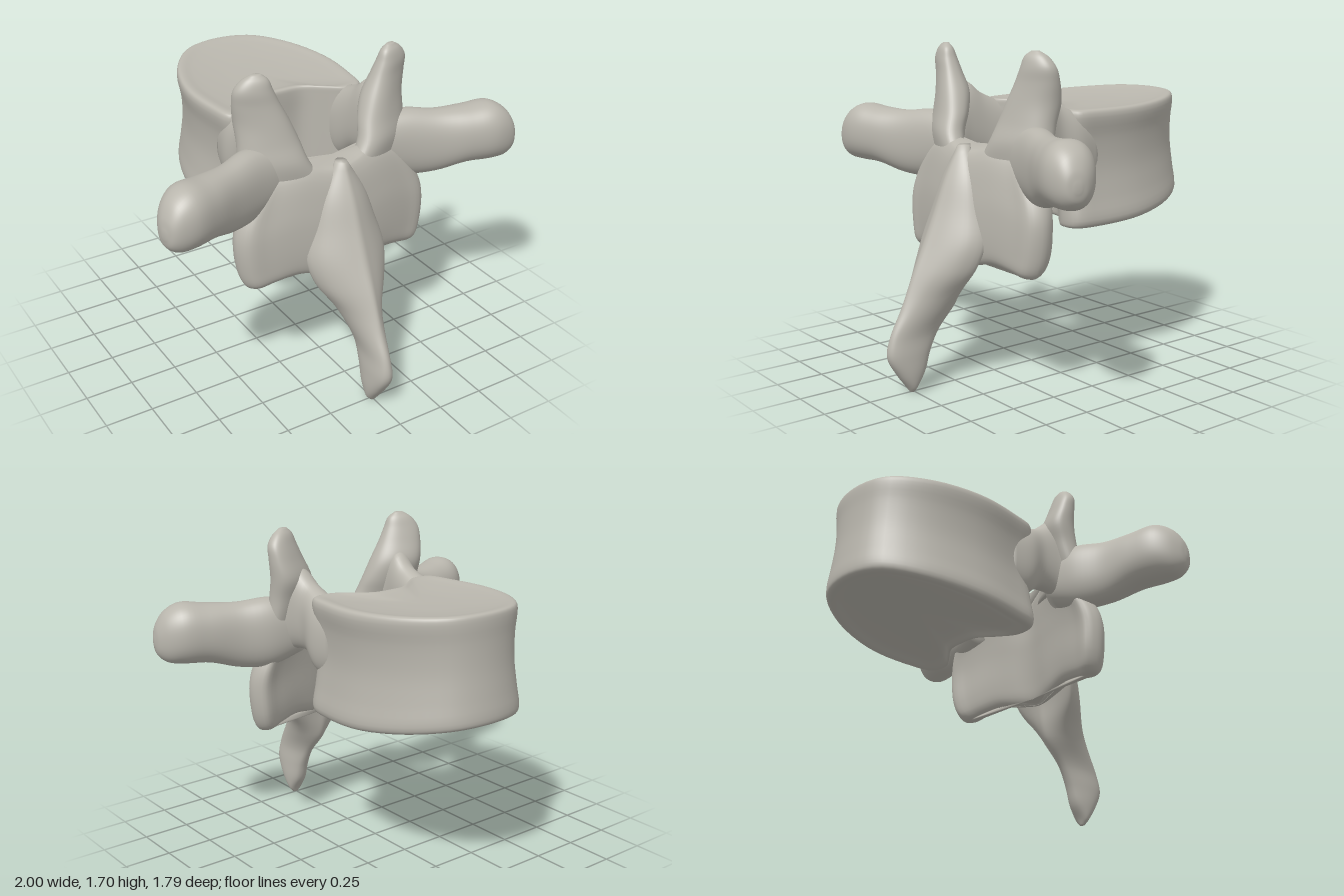
import * as THREE from 'three';

const V = (x, y, z) => new THREE.Vector3(x, y, z);
const bone = new THREE.MeshStandardMaterial({ color: 0xb9b6ad });
bone.name = 'bone';

// Smooth skin over closed rings of control points, closed at both ends
function loft(rings, around = 56, perSpan = 5) {
  const dense = rings.map((r) => {
    const c = new THREE.CatmullRomCurve3(r, true);
    return Array.from({ length: around }, (_, i) => c.getPoint(i / around));
  });
  const rows = (rings.length - 1) * perSpan + 1;
  const pts = [];
  const rails = dense[0].map((_, j) => new THREE.CatmullRomCurve3(dense.map((r) => r[j])));
  for (let i = 0; i < rows; i++) rails.forEach((rail) => pts.push(rail.getPoint(i / (rows - 1))));
  const first = pts.length;
  for (const r of [dense[0], dense[dense.length - 1]]) {
    pts.push(r.reduce((s, p) => s.add(p), V(0, 0, 0)).divideScalar(around));
  }
  const tris = [];
  for (let j = 0; j < around; j++) {
    const k = (j + 1) % around;
    for (let i = 0; i < rows - 1; i++) {
      const a = i * around + j, b = i * around + k, c = a + around, d = b + around;
      tris.push([a, b, d], [a, d, c]);
    }
    const last = (rows - 1) * around;
    tris.push([first, k, j], [first + 1, last + j, last + k]);
  }
  // Turn the faces outward whichever way the rings run
  let volume = 0;
  for (const [a, b, c] of tris) volume += pts[a].dot(V(0, 0, 0).crossVectors(pts[b], pts[c]));
  if (volume < 0) tris.forEach((t) => t.reverse());
  const g = new THREE.BufferGeometry().setFromPoints(pts);
  g.setIndex(tris.flat());
  g.computeVertexNormals();
  return g;
}

// Oval ring around a centre, spanned by two half-axes
function oval(c, u, v) {
  const soft = (t) => Math.sign(t) * Math.abs(t) ** 0.88;
  return Array.from({ length: 16 }, (_, i) => {
    const a = (i / 16) * Math.PI * 2;
    return c.clone().addScaledVector(u, soft(Math.cos(a))).addScaledVector(v, soft(Math.sin(a)));
  });
}

// Completes a half ring (x >= 0, starting and ending on x = 0)
const mirrorRing = (half) => [
  ...half,
  ...half.slice(1, -1).reverse().map((p) => V(-p.x, p.y, p.z)),
];

// Vertebral body: kidney outline, waisted sides, dished end plates
function bodyGeometry() {
  const outline = [[0, -0.86], [0.2, -0.81], [0.35, -0.63], [0.43, -0.37], [0.42, -0.12],
    [0.385, 0.02], [0.29, 0.035], [0.2, -0.02], [0.1, -0.09], [0, -0.1]];
  // height fraction, width scale, depth scale
  const levels = [[0.1, 0.1, 0.1], [0.08, 0.45, 0.45], [0.04, 0.8, 0.8], [0, 0.93, 0.94],
    [0.015, 0.985, 0.985], [0.07, 1.01, 1], [0.25, 0.97, 0.99], [0.5, 0.93, 0.975], [0.75, 0.95, 0.98],
    [0.93, 1, 0.995], [0.985, 0.985, 0.985], [1, 0.94, 0.95], [0.985, 0.8, 0.8], [0.965, 0.45, 0.45],
    [0.96, 0.1, 0.1]];
  return loft(levels.map(([v, sx, sz]) => mirrorRing(outline.map(([x, z0]) => {
    let z = -0.4 + (z0 + 0.4) * sz;
    if (z < 0) z *= 1 + 0.045 * (1 - v);
    const low = 0.795 + 0.13 * z * z, high = 1.395 + 0.05 * z * z;
    return V(x * sx, low + v * (high - low), z);
  }))), 80, 4);
}

// Lamina: curved plate behind the canal, ending below in the two lower joint lobes
function laminaGeometry() {
  // y, half width, outer z at middle, z at rim, half thickness at rim, inner z at middle
  const rows = [[1.215, 0.34, 0.42, 0.3, 0.02, 0.4], [1.2, 0.36, 0.44, 0.3, 0.05, 0.38],
    [1.14, 0.43, 0.465, 0.31, 0.07, 0.37], [1.0, 0.525, 0.49, 0.33, 0.07, 0.37],
    [0.9, 0.55, 0.5, 0.34, 0.07, 0.38], [0.75, 0.54, 0.5, 0.345, 0.07, 0.4],
    [0.67, 0.515, 0.485, 0.355, 0.06, 0.415], [0.64, 0.49, 0.47, 0.36, 0.04, 0.43],
    [0.628, 0.45, 0.455, 0.365, 0.015, 0.445]];
  return loft(rows.map(([y, w, outer, rim, t, inner]) => {
    const at = (f, z) => V(f * w, y - 0.02 * Math.cos(4 * Math.PI * f * w), z);
    const steps = [0, 0.25, 0.5, 0.75, 0.93];
    const front = steps.map((f) => at(f, outer + (rim + t - outer) * (f / 0.93) ** 1.3));
    const back = steps.map((f) => at(f, inner + (rim - t - inner) * (f / 0.93)));
    return mirrorRing([...front, at(1, rim), ...back.reverse()]);
  }), 80);
}

// Spine: a ridge flaring into the lamina, tapering to a blade
function spineGeometry() {
  // y, half width, z of widest point, front z, back z, flank hollowing
  const rows = [[1.22, 0.03, 0.42, 0.46, 0.39, 1.2], [1.06, 0.12, 0.44, 0.54, 0.42, 1.6],
    [0.9, 0.18, 0.44, 0.605, 0.42, 1.7], [0.75, 0.22, 0.46, 0.67, 0.43, 1.8],
    [0.62, 0.19, 0.5, 0.73, 0.455, 1.8], [0.5, 0.115, 0.56, 0.78, 0.47, 1.5],
    [0.42, 0.08, 0.63, 0.815, 0.5, 1.2], [0.3, 0.05, 0.74, 0.875, 0.6, 0.9],
    [0.2, 0.055, 0.77, 0.893, 0.655, 0.8], [0.1, 0.055, 0.77, 0.84, 0.69, 0.8],
    [0.03, 0.04, 0.76, 0.79, 0.735, 0.9], [0, 0.015, 0.76, 0.77, 0.75, 1]];
  return loft(rows.map(([y, w, mid, front, back, p]) => Array.from({ length: 16 }, (_, i) => {
    const a = (i / 16) * Math.PI * 2, c = Math.cos(a), s = Math.sin(a);
    return V(w * Math.sign(c) * Math.abs(c) ** p, y, mid + s * (s > 0 ? front - mid : mid - back));
  })));
}

// Pedicle: bar from the body to the arch, rising into the upper joint
const pedicle = [[-0.12, 0.3, 1.18, 0.09, 0.18], [0, 0.315, 1.19, 0.1, 0.2], [0.11, 0.315, 1.255, 0.08, 0.18],
  [0.2, 0.33, 1.29, 0.085, 0.21], [0.28, 0.35, 1.24, 0.1, 0.19], [0.34, 0.36, 1.2, 0.07, 0.12]]
  .map(([z, x, y, rx, ry]) => oval(V(x, y, z), V(rx, 0, 0), V(0, ry, 0)));

// Side wing: sideways bar with a rounded, swollen end
const sideWing = [[0.28, 1.18, 0.28, 0.14, 0.09], [0.45, 1.165, 0.315, 0.18, 0.1], [0.6, 1.16, 0.375, 0.17, 0.1],
  [0.75, 1.185, 0.43, 0.153, 0.12], [0.87, 1.195, 0.472, 0.155, 0.125], [0.945, 1.18, 0.5, 0.128, 0.095],
  [0.985, 1.165, 0.52, 0.075, 0.055], [0.998, 1.16, 0.525, 0.02, 0.015]]
  .map(([x, y, z, ry, rz]) => oval(V(x, y, z), V(-0.25 * rz, 0, rz), V(0, ry, 0)));

// Upper joint: oblique upright tongue
const upperJoint = [[1.13, 0.28, 0.33, 0.2, -0.06, 0.06], [1.25, 0.315, 0.31, 0.16, -0.06, 0.08],
  [1.35, 0.325, 0.28, 0.142, -0.05, 0.085], [1.45, 0.345, 0.255, 0.125, -0.05, 0.085],
  [1.55, 0.375, 0.255, 0.105, -0.04, 0.065], [1.62, 0.39, 0.262, 0.088, -0.03, 0.052],
  [1.67, 0.383, 0.268, 0.06, -0.02, 0.035], [1.698, 0.378, 0.27, 0.022, -0.005, 0.012]]
  .map(([y, x, z, ux, uz, t]) => oval(V(x, y, z), V(ux, 0, uz), V(t * 0.25, 0, t)));

export function createModel() {
  const model = new THREE.Group();
  model.name = 'vertebra';
  const add = (name, geometry) => {
    const mesh = new THREE.Mesh(geometry, bone);
    mesh.name = name;
    model.add(mesh);
  };
  add('vertebralBody', bodyGeometry());
  add('lamina', laminaGeometry());
  add('spine', spineGeometry());
  // Paired parts on both sides
  for (const [side, s] of [['left', 1], ['right', -1]]) {
    const paired = (rings) => loft(rings.map((r) => r.map((p) => V(p.x * s, p.y, p.z))));
    add(side + 'Pedicle', paired(pedicle));
    add(side + 'Wing', paired(sideWing));
    add(side + 'UpperJoint', paired(upperJoint));
  }
  return model;
}
